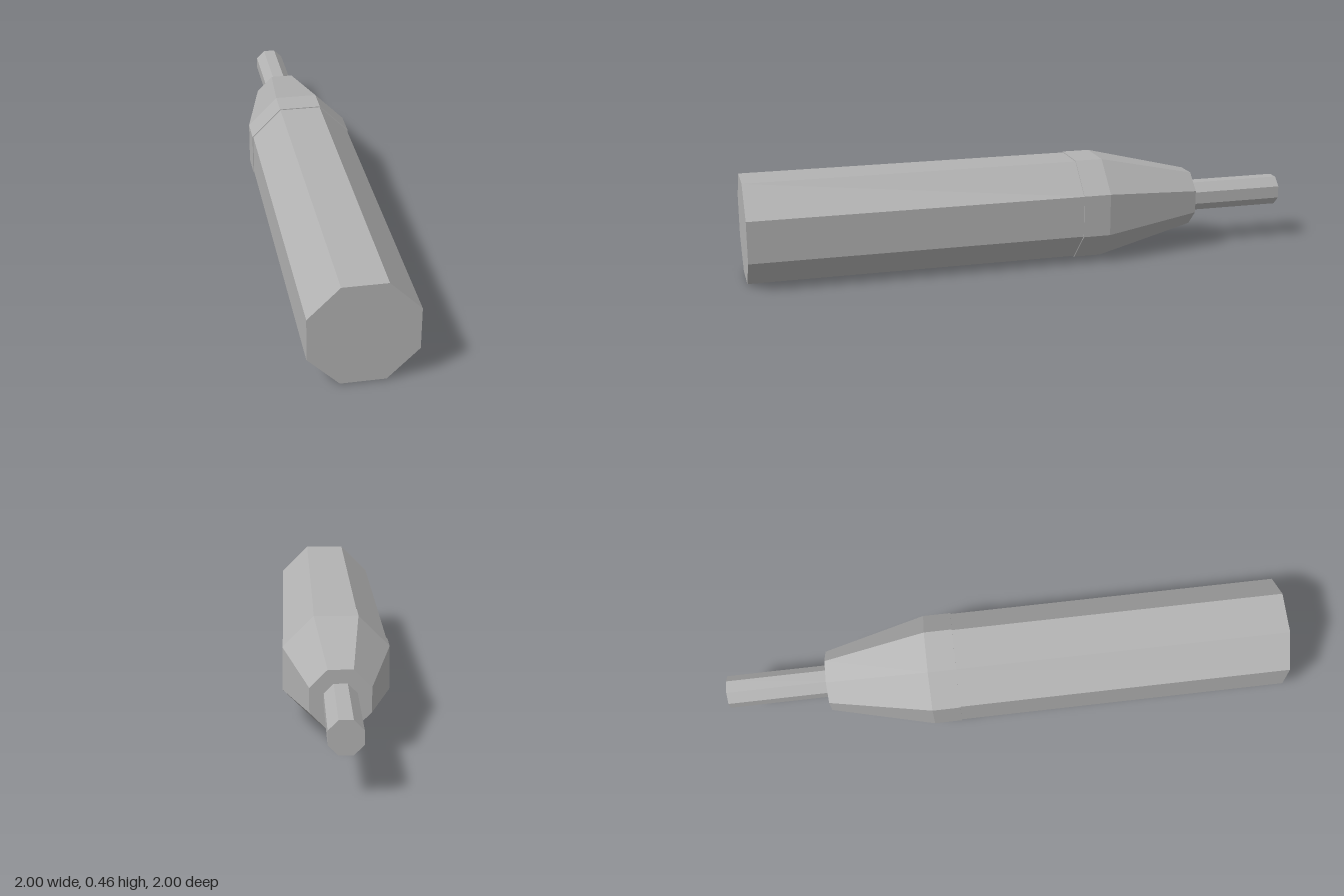
import * as THREE from 'three';

const SIDES = 8;
const CENTRE_Y = 0.233;

export function createModel() {
  const grey = new THREE.MeshStandardMaterial({ color: 0xb2b2b2, flatShading: true });
  grey.name = 'grey';

  const model = new THREE.Group();
  model.name = 'octagonalTool';

  // Octagonal section along the tool axis; sizes are centre-to-flat
  function section(name, from, to, flatFrom, flatTo) {
    const k = 1 / Math.cos(Math.PI / SIDES);
    const geometry = new THREE.CylinderGeometry(flatTo * k, flatFrom * k, to - from, SIDES, 1, false, Math.PI / SIDES);
    geometry.translate(0, (from + to) / 2, 0);
    geometry.rotateX(-Math.PI / 2); // lay down, pointing to -z
    geometry.rotateY(-Math.PI / 4); // swing diagonally towards +x, -z
    geometry.translate(0, CENTRE_Y, 0);
    const mesh = new THREE.Mesh(geometry, grey);
    mesh.name = name;
    model.add(mesh);
  }

  section('handle', -1.188, 0.32, 0.225, 0.225);
  section('collar', 0.306, 0.431, 0.229, 0.229);
  section('taperedNose', 0.431, 0.891, 0.229, 0.124);
  section('tipRod', 0.87, 1.346, 0.067, 0.067);

  return model;
}
